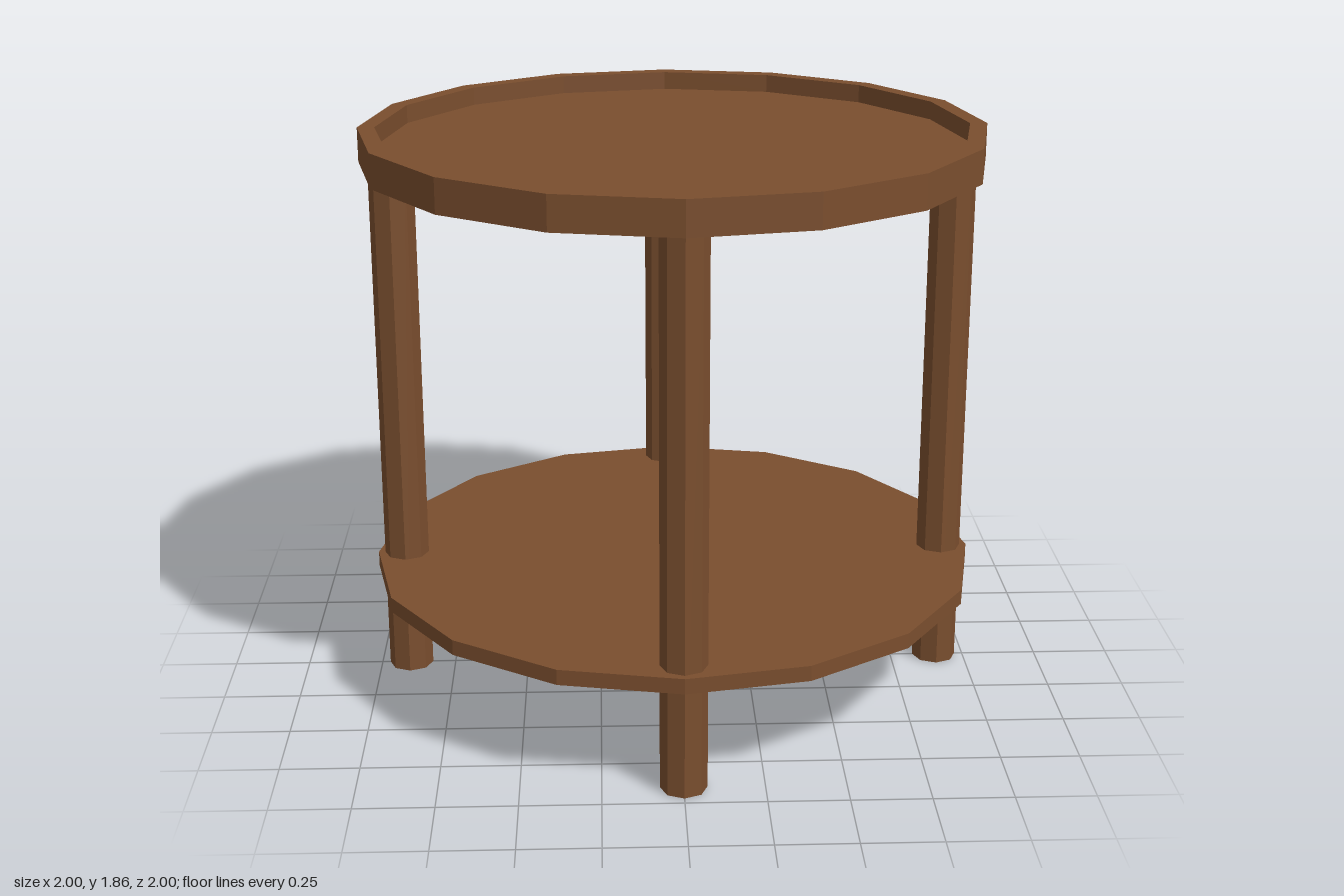
import * as THREE from 'three';

export function createModel() {
  const table = new THREE.Group();
  table.name = 'roundSideTable';

  const wood = new THREE.MeshStandardMaterial({ color: 0x7a4e2e, flatShading: true });
  wood.name = 'brown wood';

  function add(name, geometry, x = 0, y = 0, z = 0) {
    const mesh = new THREE.Mesh(geometry, wood);
    mesh.name = name;
    mesh.position.set(x, y, z);
    table.add(mesh);
  }

  // Tray top: 16-sided disc with a raised rim
  const profile = [[0, 1.75], [1, 1.75], [1, 1.86], [0.945, 1.86], [0.945, 1.8], [0, 1.8]];
  add('trayTop', new THREE.LatheGeometry(profile.map(([r, y]) => new THREE.Vector2(r, y)), 16));

  // Lower shelf
  add('lowerShelf', new THREE.CylinderGeometry(0.995, 0.995, 0.05, 16), 0, 0.385, 0);

  // Four octagonal legs on the axes, passing through the shelf
  const legHeight = 1.76;
  const legGeometry = new THREE.CylinderGeometry(0.073, 0.073, legHeight, 8);
  const legs = { frontLeg: [0, 1], leftLeg: [1, 0], backLeg: [0, -1], rightLeg: [-1, 0] };
  for (const [name, [x, z]] of Object.entries(legs)) {
    add(name, legGeometry, x * 0.9, legHeight / 2, z * 0.9);
  }

  return table;
}
